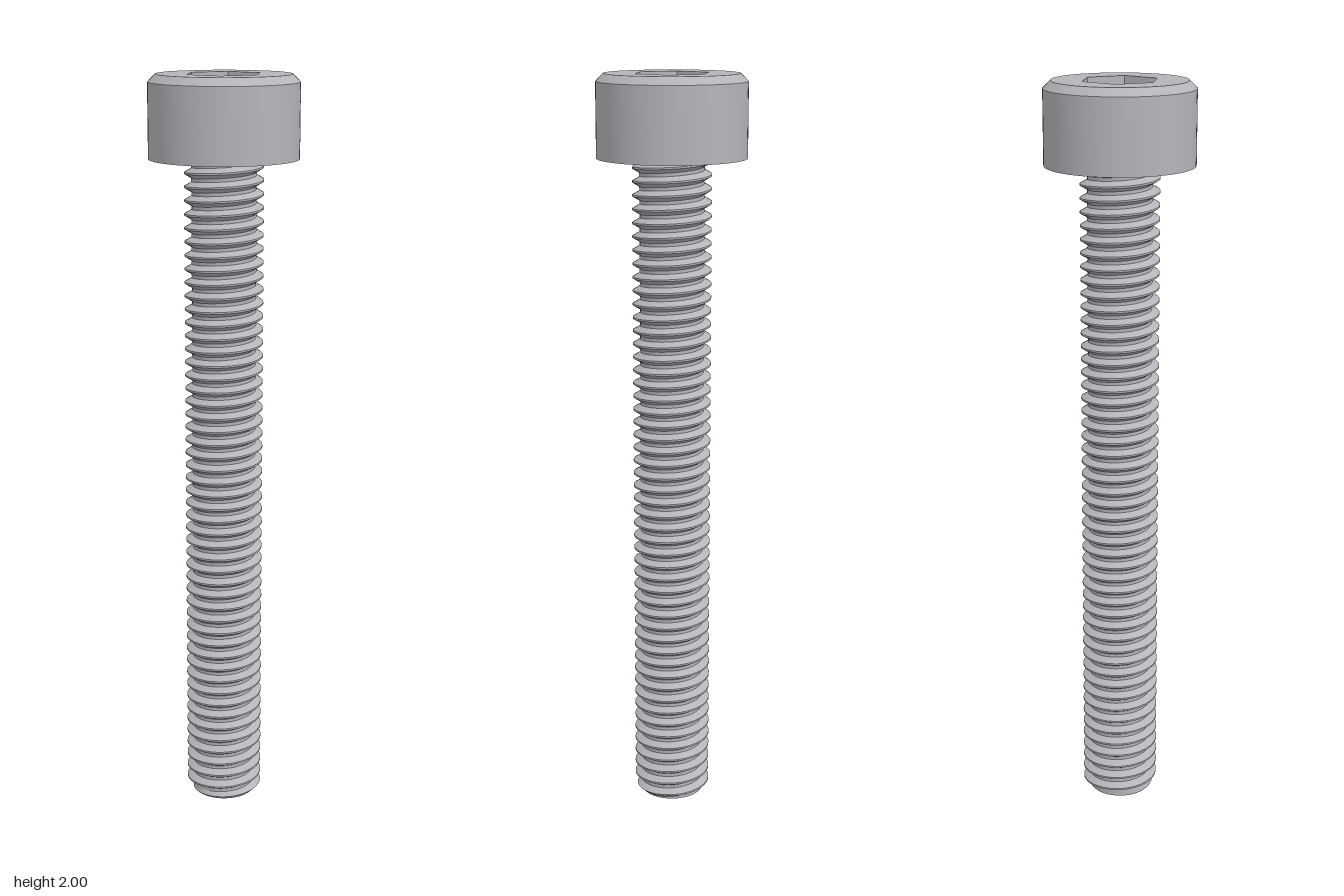
import * as THREE from 'three';
import { toCreasedNormals } from 'three/addons/utils/BufferGeometryUtils.js';

const HEAD_BASE = 1.786, TOP = 2, HEAD_R = 0.196, RIM_R = 0.176;
const HEX_R = 0.103, HEX_DEPTH = 0.107;
const ROOT_R = 0.085, CREST_R = 0.104, PITCH = HEAD_BASE / 50;

const lathe = (points, segments, start = 0) => new THREE.LatheGeometry(
  points.map(([r, y]) => new THREE.Vector2(r, y)), segments, start);

// Right-handed helical thread: one tooth section swept upward, trimmed at both ends
function threadGeometry() {
  const section = [[ROOT_R, 0], [ROOT_R, 0.25], [CREST_R, 0.56], [CREST_R, 0.69], [ROOT_R, 1]];
  const segments = 36, turns = 52, n = section.length;
  const positions = [], indices = [];
  for (let i = 0; i <= segments * turns; i++) {
    const turn = i / segments, angle = turn * Math.PI * 2;
    section.forEach(([radius, step], j) => {
      const y = THREE.MathUtils.clamp((turn + step - 1.5) * PITCH, 0, HEAD_BASE);
      const r = Math.min(radius, ROOT_R + y); // chamfered tip
      positions.push(r * Math.sin(angle), y, r * Math.cos(angle));
      if (i < segments * turns && j < n - 1) {
        const a = i * n + j, b = a + n;
        indices.push(a, b, a + 1, b, b + 1, a + 1);
      }
    });
  }
  const geometry = new THREE.BufferGeometry();
  geometry.setAttribute('position', new THREE.Float32BufferAttribute(positions, 3));
  geometry.setIndex(indices);
  return toCreasedNormals(geometry, 0.5);
}

export function createModel() {
  const group = new THREE.Group();
  const steel = new THREE.MeshStandardMaterial({ color: 0xb4b5ba });
  steel.name = 'steel grey';
  const add = (name, geometry) => {
    const mesh = new THREE.Mesh(geometry, steel);
    mesh.name = name;
    group.add(mesh);
    return mesh;
  };

  // Round head with a chamfered upper edge
  add('head', toCreasedNormals(lathe([
    [0, HEAD_BASE], [HEAD_R, HEAD_BASE], [HEAD_R, TOP - 0.02], [RIM_R, TOP],
  ], 72), 0.5));

  // Top face with a hexagonal opening
  const face = new THREE.Shape().absarc(0, 0, RIM_R, 0, Math.PI * 2);
  const corners = Array.from({ length: 6 }, (_, i) => new THREE.Vector2(
    HEX_R * Math.cos(i * Math.PI / 3), HEX_R * Math.sin(i * Math.PI / 3)));
  face.holes.push(new THREE.Path(corners));
  const topFace = add('headTopFace', new THREE.ShapeGeometry(face, 36));
  topFace.rotation.x = -Math.PI / 2;
  topFace.position.y = TOP;

  // Hexagonal socket: inward-facing walls and floor
  const floor = TOP - HEX_DEPTH;
  add('hexSocket', toCreasedNormals(
    lathe([[HEX_R, TOP], [HEX_R, floor], [0, floor]], 6, Math.PI / 2), 0.3));

  // Threaded shank and its flat tip
  add('threadedShank', threadGeometry());
  const tip = add('shankTip', new THREE.CircleGeometry(ROOT_R, 36));
  tip.rotation.x = Math.PI / 2;

  return group;
}
